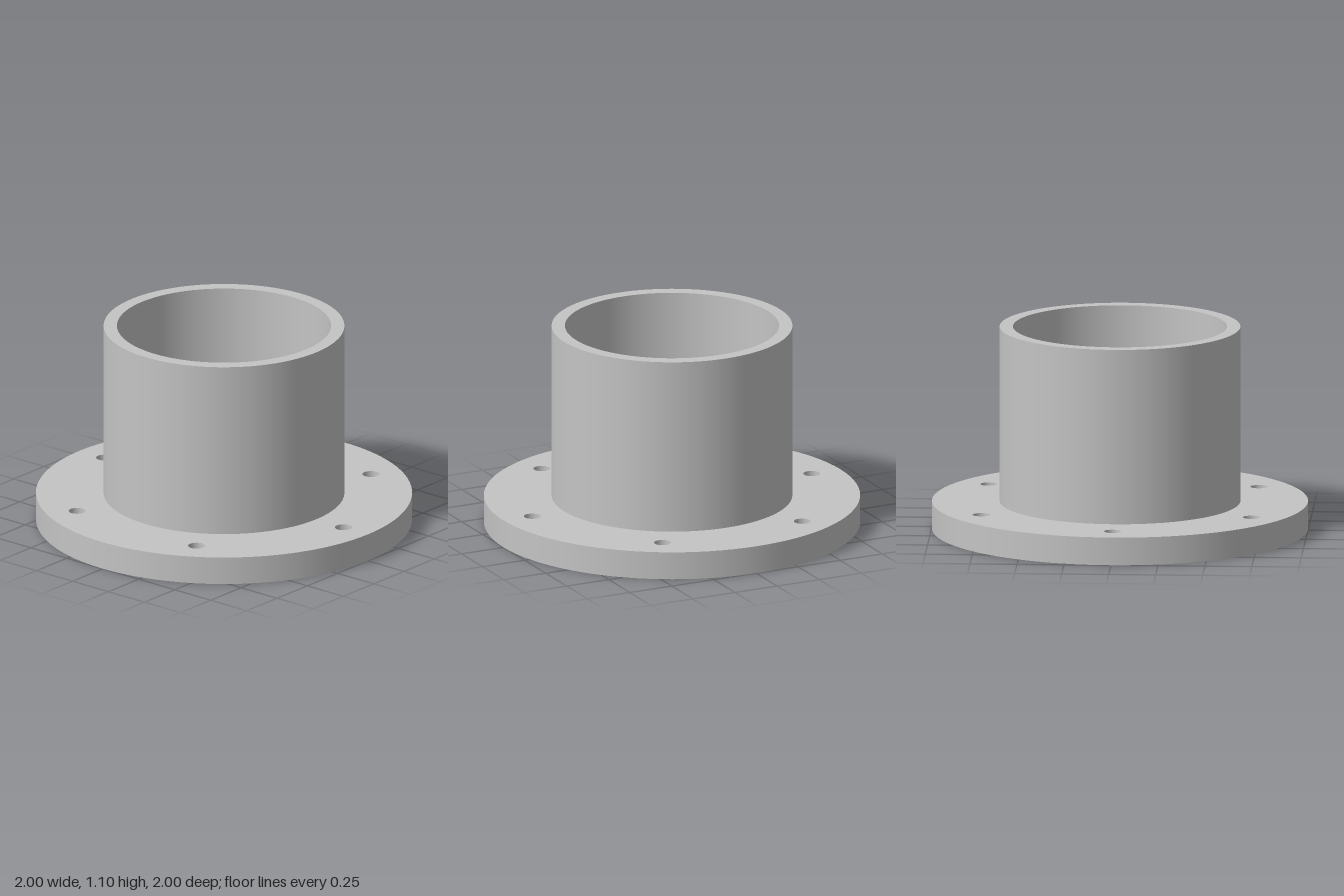
import * as THREE from 'three';
import { mergeGeometries } from 'three/addons/utils/BufferGeometryUtils.js';

const SIDES = 96;
const FLANGE_R = 1, FLANGE_TOP = 0.15;
const TUBE_R = 0.64, TUBE_BORE = 0.569, TUBE_TOP = 1.095;
const SEAT_R = 0.563, THROAT_R = 0.473, THROAT_TOP = 0.055;
const BOLT_CIRCLE = 0.83, BOLT_R = 0.045, BOLT_COUNT = 6;

// Revolves each span of a profile separately so corners stay sharp
function revolve(profile, sides = SIDES) {
  const spans = [];
  for (let i = 0; i < profile.length - 1; i++) {
    const points = [profile[i], profile[i + 1]].map(([r, y]) => new THREE.Vector2(r, y));
    spans.push(new THREE.LatheGeometry(points, sides));
  }
  return mergeGeometries(spans);
}

function boltPositions() {
  return Array.from({ length: BOLT_COUNT }, (_, i) => {
    const a = (i / BOLT_COUNT) * Math.PI * 2;
    return [BOLT_CIRCLE * Math.cos(a), BOLT_CIRCLE * Math.sin(a)];
  });
}

// Flat flange face with a central opening and the bolt holes
function flangeFace(opening) {
  const shape = new THREE.Shape().absarc(0, 0, FLANGE_R, 0, Math.PI * 2);
  const cut = (x, y, r) => shape.holes.push(new THREE.Path().absarc(x, y, r, 0, Math.PI * 2, true));
  cut(0, 0, opening);
  boltPositions().forEach(([x, y]) => cut(x, y, BOLT_R));
  return new THREE.ShapeGeometry(shape, SIDES / 2);
}

export function createModel() {
  const group = new THREE.Group();
  group.name = 'flangedSleeve';
  const steel = new THREE.MeshStandardMaterial({ color: 0xc4c4c4 });
  steel.name = 'light grey metal';

  const add = (name, geometry) => {
    const mesh = new THREE.Mesh(geometry, steel);
    mesh.name = name;
    group.add(mesh);
    return mesh;
  };

  // Flange disc: rim, top and underside
  add('flangeRim', revolve([[FLANGE_R, 0], [FLANGE_R, FLANGE_TOP]]));
  add('flangeTop', flangeFace(TUBE_R).rotateX(-Math.PI / 2).translate(0, FLANGE_TOP, 0));
  add('flangeUnderside', flangeFace(THROAT_R).rotateX(Math.PI / 2));

  // Bolt hole walls, facing inward
  boltPositions().forEach(([x, z]) => {
    add('boltHole', revolve([[BOLT_R, FLANGE_TOP], [BOLT_R, 0]], 48)).position.set(x, 0, z);
  });

  // Tube: outer wall, top lip, inner wall and small ledge
  add('tube', revolve([
    [TUBE_R, FLANGE_TOP], [TUBE_R, TUBE_TOP], [TUBE_BORE, TUBE_TOP],
    [TUBE_BORE, FLANGE_TOP], [SEAT_R, FLANGE_TOP],
  ]));

  // Conical seat narrowing to the throat
  add('seatAndThroat', revolve([[SEAT_R, FLANGE_TOP], [THROAT_R, THROAT_TOP], [THROAT_R, 0]]));

  return group;
}
